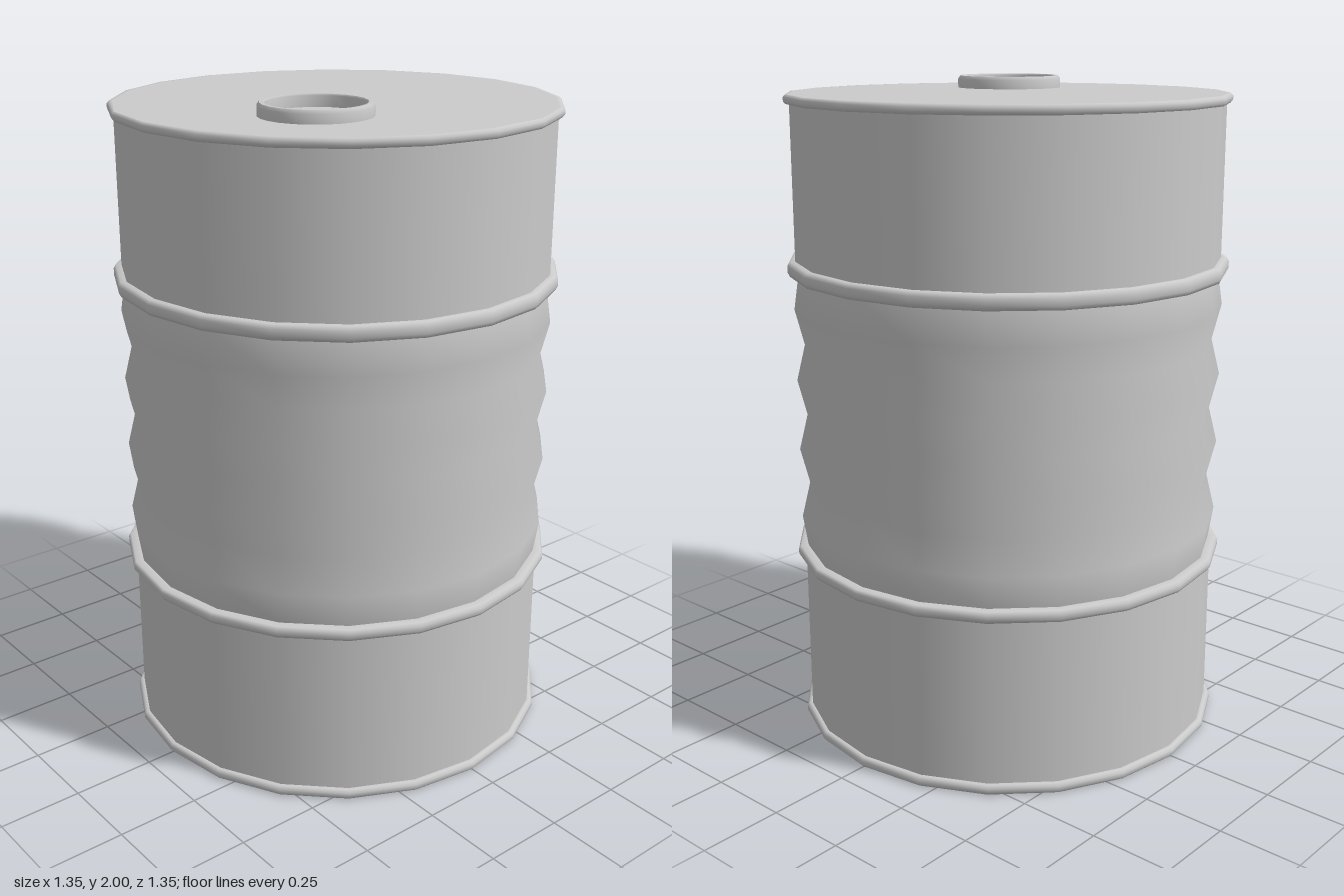
import * as THREE from 'three';

const SIDES = 20;
const material = new THREE.MeshStandardMaterial({ color: 0xcccccc, side: THREE.DoubleSide });

// Revolve a profile of [radius, height] pairs, listed from bottom to top.
function revolve(name, profile, sides = SIDES) {
  const points = profile.map(([r, y]) => new THREE.Vector2(r, y));
  const mesh = new THREE.Mesh(new THREE.LatheGeometry(points, sides), material);
  mesh.name = name;
  return mesh;
}

// Rounded bead that bulges out of the sheet wall between two heights.
function bead(name, inner, outer, y0, y1) {
  const h = y1 - y0;
  return revolve(name, [
    [inner, y0], [outer - 0.007, y0], [outer, y0 + h * 0.28],
    [outer, y0 + h * 0.72], [outer - 0.007, y1], [inner, y1],
  ]);
}

export function createModel() {
  const barrel = new THREE.Group();
  barrel.name = 'barrel';
  const wall = 0.65;

  // Plain walls above and below the corrugated middle
  barrel.add(revolve('lowerWall', [[wall, 0.03], [wall, 0.54]]));
  barrel.add(revolve('upperWall', [[wall, 1.475], [wall, 1.935]]));

  // Corrugated middle: four ridges with valleys between
  const ribs = [[0.643, 0.575]];
  for (let i = 0; i < 7; i++) {
    ribs.push([i % 2 ? 0.631 : 0.658, 0.673 + i * 0.1095]);
  }
  ribs.push([0.643, 1.43]);
  barrel.add(revolve('corrugatedWall', ribs));

  // Rolling hoops and end rims
  barrel.add(bead('lowerHoop', 0.643, 0.674, 0.54, 0.575));
  barrel.add(bead('upperHoop', 0.643, 0.674, 1.43, 1.475));
  barrel.add(bead('bottomRim', wall, 0.667, 0, 0.03));
  barrel.add(bead('topRim', wall, 0.667, 1.935, 1.963));

  // Flat lid; the bottom of the barrel is open
  const lid = new THREE.Mesh(new THREE.CircleGeometry(0.66, SIDES), material);
  lid.name = 'lid';
  lid.rotation.x = -Math.PI / 2;
  lid.position.y = 1.963;
  barrel.add(lid);

  // Raised ring around the filler opening
  const filler = new THREE.Group();
  filler.name = 'fillerRing';
  filler.position.set(0.197, 0, 0.232);
  filler.add(revolve('ringOutside', [[0.163, 1.963], [0.163, 1.99], [0.156, 2]], 24));
  filler.add(revolve('ringTop', [[0.156, 2], [0.145, 2]], 24));
  filler.add(revolve('ringInside', [[0.145, 2], [0.141, 1.995], [0.141, 1.963]], 24));
  barrel.add(filler);

  return barrel;
}
